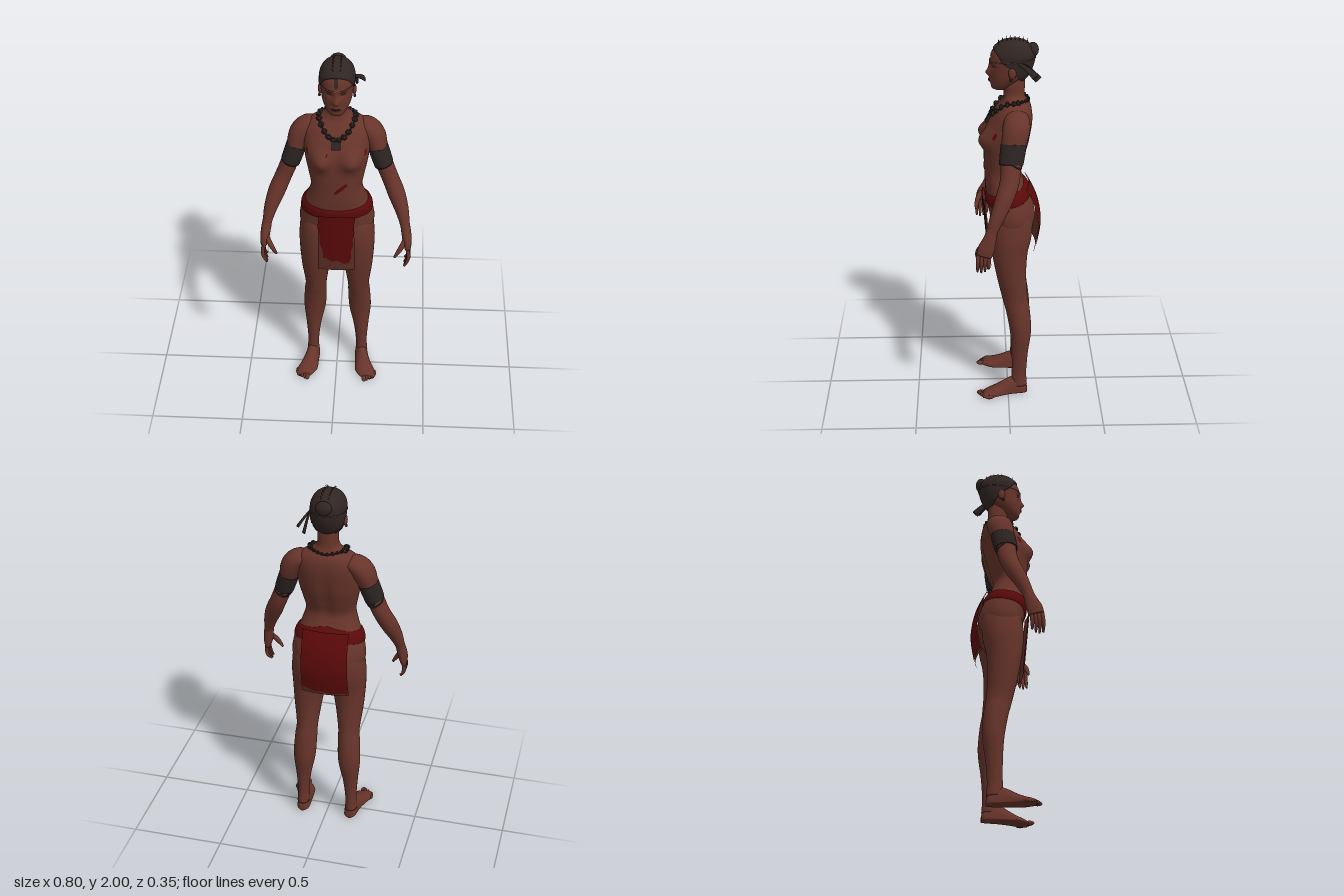
import * as THREE from 'three';

const V = (x, y, z) => new THREE.Vector3(x, y, z);
const mat = (name, color, side = THREE.FrontSide) => {
  const m = new THREE.MeshStandardMaterial({ color, side });
  m.name = name;
  return m;
};

// Catmull-Rom resampling of rows of numbers
function smooth(rows, n) {
  const out = [];
  for (let k = 0; k <= n; k++) {
    const f = (k / n) * (rows.length - 1), i = Math.min(Math.floor(f), rows.length - 2), t = f - i;
    const [a, b, c, d] = [i - 1, i, i + 1, i + 2].map(j => rows[THREE.MathUtils.clamp(j, 0, rows.length - 1)]);
    out.push(b.map((_, q) => b[q] + 0.5 * t * (c[q] - a[q] + t * (2 * a[q] - 5 * b[q] + 4 * c[q] - d[q] + t * (3 * (b[q] - c[q]) + d[q] - a[q])))));
  }
  return out;
}

// Skin a list of closed rings of points, optionally capped
function loft(rings, capped = true) {
  const n = rings[0].length, pts = rings.flat(), idx = [];
  for (let i = 0; i < rings.length - 1; i++) for (let j = 0; j < n; j++) {
    const a = i * n + j, b = i * n + (j + 1) % n;
    idx.push(a, b, b + n, a, b + n, a + n);
  }
  if (capped) [0, rings.length - 1].forEach((r, end) => {
    const c = pts.length;
    pts.push(rings[r].reduce((s, p) => s.add(p), V(0, 0, 0)).divideScalar(n));
    for (let j = 0; j < n; j++) {
      const a = r * n + j, b = r * n + (j + 1) % n;
      idx.push(...(end ? [a, b, c] : [b, a, c]));
    }
  });
  const g = new THREE.BufferGeometry().setFromPoints(pts);
  g.setIndex(idx);
  g.computeVertexNormals();
  return g;
}

// Upright body: rows of [y, halfWidth, zFront, zBack]; bump shifts the front or back
function trunk(rows, n, power, bump = () => 0, seg = 72) {
  return loft(smooth(rows, n).map(([y, w, f, b]) => Array.from({ length: seg }, (_, j) => {
    const a = (j / seg) * Math.PI * 2, s = Math.sin(a), c = Math.cos(a), m = (f + b) / 2;
    const x = w * Math.sign(s) * Math.abs(s) ** power;
    const z = m + (f - b) / 2 * Math.sign(c) * Math.abs(c) ** power;
    return V(x, y, z + bump(x, y, c));
  })));
}

// Limb: rows of [x, y, z, radius, radiusZ] along a path
function limb(rows, n = 24, seg = 20) {
  const p = smooth(rows, n), at = i => V(...p[THREE.MathUtils.clamp(i, 0, n)].slice(0, 3));
  return loft(p.map((r, i) => {
    const d = at(i + 1).sub(at(i - 1)).normalize();
    const v = V(0, 0, 1).addScaledVector(d, -d.z).normalize(), u = v.clone().cross(d);
    return Array.from({ length: seg }, (_, j) => {
      const a = (j / seg) * Math.PI * 2;
      return at(i).addScaledVector(u, Math.cos(a) * r[3]).addScaledVector(v, Math.sin(a) * r[4]);
    });
  }));
}

function mirror(geo) {
  const g = geo.clone().scale(-1, 1, 1), k = g.index.array;
  for (let i = 0; i < k.length; i += 3) [k[i], k[i + 1]] = [k[i + 1], k[i]];
  return g;
}

const ball = (x, y, z, a, b, c) => new THREE.SphereGeometry(1, 20, 14).scale(a, b, c).translate(x, y, z);
const gauss = (x, y, cx, cy, sx, sy) => Math.exp(-(((x - cx) / sx) ** 2) - ((y - cy) / sy) ** 2);
const ray = new THREE.Raycaster();
const hit = (mesh, from, dir, fallback) => {
  ray.set(from, dir);
  const h = ray.intersectObject(mesh)[0];
  return h ? h.point : fallback;
};
// Point on a mesh seen from angle a (0 = front) at height y
const around = (mesh, a, y, off) => {
  const d = V(Math.sin(a), 0, Math.cos(a)), c = V(0, y, -0.03);
  return hit(mesh, c.clone().add(d), d.clone().negate(), c).clone().addScaledVector(d, off);
};

export function createModel() {
  const group = new THREE.Group();
  const skin = mat('skin', 0x67342a), red = mat('redCloth', 0x5c0909, THREE.DoubleSide);
  const brown = mat('brownCloth', 0x5c2f26, THREE.DoubleSide), hair = mat('hair', 0x302624);
  const leather = mat('leather', 0x2b2321), dark = mat('darkPaint', 0x281412), gold = mat('goldCord', 0x4d3c22);
  const add = (name, geo, m) => {
    const mesh = new THREE.Mesh(geo, m);
    mesh.name = name;
    group.add(mesh);
    return mesh;
  };
  const pair = (name, geo, m) => { add(name + 'Left', geo, m); add(name + 'Right', mirror(geo), m); };

  // Torso and neck
  const torso = add('torso', trunk([
    [0.85, 0.05, 0.02, -0.06], [0.89, 0.1, 0.05, -0.085], [0.95, 0.165, 0.078, -0.115], [1.03, 0.198, 0.095, -0.132],
    [1.1, 0.194, 0.106, -0.132], [1.17, 0.174, 0.115, -0.115], [1.22, 0.153, 0.12, -0.09], [1.29, 0.134, 0.123, -0.065],
    [1.36, 0.145, 0.125, -0.085], [1.43, 0.16, 0.122, -0.108], [1.5, 0.17, 0.115, -0.122], [1.56, 0.172, 0.095, -0.13],
    [1.61, 0.168, 0.065, -0.128], [1.645, 0.137, 0.04, -0.118], [1.67, 0.088, 0.025, -0.1], [1.7, 0.058, 0.02, -0.09],
    [1.75, 0.053, 0.022, -0.09], [1.8, 0.05, 0.02, -0.09]], 110, 0.88, (x, y, c) => {
    const ax = Math.abs(x);
    return c > 0 ? Math.min(1, c * 2) * 0.045 * gauss(ax, y, 0.085, 1.475, 0.055, 0.055)
      : Math.max(-1, c * 2) * (0.018 * gauss(ax, y, 0.09, 1.04, 0.06, 0.08) - 0.01 * gauss(x, y, 0, 1.4, 0.03, 0.16));
  }), skin);

  // Legs, feet and toes
  pair('leg', limb([
    [0.14, 0.05, -0.06, 0.034, 0.044], [0.138, 0.13, -0.06, 0.031, 0.04], [0.135, 0.25, -0.064, 0.042, 0.045],
    [0.128, 0.38, -0.068, 0.061, 0.058], [0.122, 0.5, -0.054, 0.061, 0.064], [0.118, 0.58, -0.038, 0.059, 0.068],
    [0.116, 0.72, -0.018, 0.077, 0.08], [0.11, 0.85, -0.01, 0.092, 0.096], [0.106, 0.95, -0.016, 0.097, 0.11],
    [0.103, 1.05, -0.022, 0.086, 0.104], [0.1, 1.12, -0.02, 0.05, 0.06]], 60, 32), skin);
  pair('foot', loft(smooth([
    [0.138, -0.106, 0.012, 0.03], [0.138, -0.092, 0.03, 0.065], [0.139, -0.055, 0.037, 0.1], [0.144, -0.01, 0.04, 0.095],
    [0.154, 0.04, 0.048, 0.068], [0.166, 0.085, 0.056, 0.045], [0.178, 0.12, 0.049, 0.033], [0.184, 0.142, 0.036, 0.02]], 24)
    .map(([x, z, w, h]) => Array.from({ length: 24 }, (_, j) => {
      const a = (j / 24) * Math.PI * 2;
      return V(x + w * Math.cos(a), 0.012 + (Math.sin(a) > 0 ? h - 0.012 : 0.012) * Math.sin(a), z);
    }))), skin);
  for (let i = 0; i < 5; i++)
    pair('toe', ball(0.163 + i * 0.0145, 0.013, 0.15 - i * 0.005 - i * i * 0.0015, i ? 0.009 : 0.014, 0.012, 0.025), skin);

  // Arms and hands
  pair('arm', limb([
    [0.09, 1.61, -0.045, 0.03, 0.05], [0.15, 1.6, -0.045, 0.05, 0.066], [0.19, 1.555, -0.038, 0.058, 0.07],
    [0.218, 1.47, -0.022, 0.048, 0.06], [0.248, 1.39, -0.012, 0.045, 0.053], [0.28, 1.31, -0.002, 0.044, 0.05],
    [0.315, 1.23, 0.026, 0.045, 0.046], [0.345, 1.15, 0.06, 0.036, 0.038], [0.363, 1.08, 0.088, 0.026, 0.03],
    [0.371, 1.04, 0.1, 0.026, 0.034], [0.378, 0.99, 0.118, 0.024, 0.043], [0.383, 0.95, 0.13, 0.017, 0.04]], 70, 28), skin);
  for (let i = 0; i < 4; i++) {
    const z = 0.101 + i * 0.019, tip = 0.85 + (i - 2) ** 2 * 0.006;
    pair('finger', limb([[0.38, 0.965, z, 0.01, 0.01], [0.388, 0.92, z + 0.004, 0.0105, 0.0105],
      [0.381, 0.885, z + 0.006, 0.009, 0.009], [0.366, tip, z + 0.006, 0.005, 0.005]], 8, 10), skin);
  }
  pair('thumb', limb([[0.374, 1.015, 0.125, 0.014, 0.014], [0.348, 0.972, 0.155, 0.014, 0.014],
    [0.328, 0.94, 0.165, 0.011, 0.011], [0.313, 0.915, 0.168, 0.006, 0.006]], 10, 12), skin);
  pair('armband', limb([[0.21, 1.492, -0.025, 0.05, 0.061], [0.212, 1.486, -0.025, 0.053, 0.066],
    [0.24, 1.404, -0.013, 0.051, 0.062], [0.242, 1.398, -0.013, 0.048, 0.057]], 18, 32), leather);

  // Head with nose, lips, brow and eye sockets
  const head = add('head', trunk([
    [1.722, 0.02, 0.06, 0.01], [1.732, 0.038, 0.08, -0.01], [1.75, 0.053, 0.086, -0.03], [1.775, 0.067, 0.085, -0.06],
    [1.8, 0.076, 0.087, -0.09], [1.84, 0.082, 0.088, -0.12], [1.88, 0.085, 0.088, -0.132], [1.92, 0.083, 0.08, -0.135],
    [1.955, 0.068, 0.052, -0.113], [1.978, 0.042, 0.018, -0.08], [1.988, 0.005, -0.025, -0.035]], 80, 0.95, (x, y, c) => {
    if (c <= 0) return 0;
    const ax = Math.abs(x);
    return 0.022 * gauss(x, y, 0, 1.812, 0.016, 0.018) + 0.01 * gauss(x, y, 0, 1.84, 0.01, 0.03)
      + 0.012 * gauss(x, y, 0, 1.776, 0.026, 0.013) + 0.005 * gauss(ax, y, 0.03, 1.875, 0.03, 0.01)
      - 0.01 * gauss(ax, y, 0.034, 1.852, 0.018, 0.012);
  }), skin);
  pair('ear', ball(0.086, 1.83, -0.022, 0.011, 0.03, 0.02), skin);
  pair('earring', ball(0.089, 1.797, -0.014, 0.007, 0.01, 0.007), leather);

  // Hair cap cut back along the hairline, with a bun and trailing ties
  const line = [[1.77, -0.075], [1.84, -0.03], [1.88, 0.025], [1.92, 0.052], [1.945, 0.075], [2.1, 0.2]];
  const hairline = y => {
    const i = Math.max(1, line.findIndex(p => p[0] > y)), [a, b] = [line[i - 1], line[i]];
    return a[1] + (b[1] - a[1]) * (y - a[0]) / (b[0] - a[0]);
  };
  const hairCap = add('hairCap', trunk([
    [1.775, 0.05, 0.03, -0.09], [1.8, 0.076, 0.07, -0.11], [1.84, 0.087, 0.09, -0.13], [1.88, 0.091, 0.092, -0.141],
    [1.92, 0.09, 0.088, -0.143], [1.955, 0.076, 0.064, -0.123], [1.98, 0.05, 0.028, -0.09], [1.992, 0.005, -0.025, -0.035]], 50, 0.95), hair);
  const hp = hairCap.geometry.attributes.position;
  for (let i = 0; i < hp.count; i++) hp.setZ(i, Math.min(hp.getZ(i), hairline(hp.getY(i))));
  hairCap.geometry.computeVertexNormals();
  add('bun', ball(0, 1.932, -0.13, 0.043, 0.038, 0.03), hair);
  [[0.095, 1.8, -0.155], [0.13, 1.825, -0.14]].forEach(e => add('hairTie', limb([
    [0.083, 1.885, -0.05, 0.005, 0.007], [(0.083 + e[0]) / 2, 1.858, -0.1, 0.006, 0.014], [...e, 0.008, 0.02]], 6, 8), leather));
  for (let i = 0; i < 8; i++) for (const s of [-1, 1]) {
    const z = 0.045 - i * 0.021, p = hit(hairCap, V(s * 0.02, 3, z), V(0, -1, 0), V(s * 0.02, 1.96, z));
    add('hairSpike', new THREE.ConeGeometry(0.004, 0.02, 6).rotateZ(-s * 0.4).translate(p.x, p.y + 0.005, z), gold);
  }
  const bandPts = Array.from({ length: 48 }, (_, j) => {
    const a = (j / 48) * Math.PI * 2, y = 1.887 - 0.008 * Math.cos(a);
    const p = around(head, a, y, 0.001), q = around(hairCap, a, y, 0.001);
    return Math.hypot(p.x, p.z + 0.03) > Math.hypot(q.x, q.z + 0.03) ? p : q;
  });
  add('headCord', new THREE.TubeGeometry(new THREE.CatmullRomCurve3(bandPts, true), 96, 0.0022, 6, true), gold);

  // Thin painted strokes laid on a surface: x0, y0, x1, y1, width
  const stroke = (name, mesh, m, [x0, y0, x1, y1, w]) => {
    const g = new THREE.PlaneGeometry(1, 1, 14, 4), p = g.attributes.position;
    const dx = x1 - x0, dy = y1 - y0, len = Math.hypot(dx, dy);
    for (let i = 0; i < p.count; i++) {
      const t = p.getX(i) + 0.5, s = p.getY(i) * w * Math.sqrt(Math.max(0.02, 1 - (2 * t - 1) ** 4));
      const x = x0 + dx * t - dy / len * s, y = y0 + dy * t + dx / len * s;
      p.setXYZ(i, x, y, hit(mesh, V(x, y, 2), V(0, 0, -1), V(x, y, 0)).z + 0.003);
    }
    g.computeVertexNormals();
    add(name, g, m);
  };
  for (const s of [-1, 1]) {
    stroke('eye', head, dark, [s * 0.036 - 0.014, 1.853, s * 0.036 + 0.014, 1.853, 0.008]);
    stroke('eyebrow', head, dark, [s * 0.036 - 0.017, 1.872, s * 0.036 + 0.017, 1.872, 0.004]);
    stroke('chestMark', torso, red, [s * 0.148, 1.495, s * 0.151, 1.53, 0.01]);
  }
  stroke('lips', head, dark, [-0.024, 1.775, 0.024, 1.775, 0.018]);
  stroke('foreheadLock', head, hair, [0, 1.89, 0, 1.955, 0.02]);
  stroke('bellyMark', torso, red, [-0.008, 1.282, 0.06, 1.345, 0.02]);
  stroke('breastMark', torso, red, [-0.05, 1.51, -0.044, 1.528, 0.007]);

  // Necklace of chunky beads resting on the shoulders, with a square pendant
  const neckPoint = (a, lift) => {
    const c = Math.cos(a), x = 0.094 * Math.sin(a), z = -0.03 + (c > 0 ? 0.112 : 0.074) * c;
    const p = hit(torso, V(x, 1.715, z), V(0, -1, 0), V(x, 1.66, z));
    return V(p.x, p.y + lift, p.z + lift * c);
  };
  const neckPts = Array.from({ length: 40 }, (_, j) => neckPoint(j / 40 * Math.PI * 2, 0.004));
  add('necklaceCord', new THREE.TubeGeometry(new THREE.CatmullRomCurve3(neckPts, true), 100, 0.004, 6, true), leather);
  for (let i = 0; i < 22; i++) {
    const a = ((i + 0.5) / 22) * Math.PI * 2, p = neckPoint(a, 0.006), r = Math.cos(a) < -0.5 ? 0.009 : 0.015;
    add('bead', new THREE.DodecahedronGeometry(r).scale(1, 1.15, 0.9).rotateZ(i).translate(p.x, p.y, p.z), leather);
  }
  const pz = around(torso, 0, 1.565, 0.01);
  add('pendant', new THREE.BoxGeometry(0.046, 0.042, 0.012).rotateX(-0.5).translate(0, 1.566, pz.z), leather);

  // Rolled waist belt, lower at the front
  const belt = [[-0.033, 0.001], [-0.029, 0.006], [-0.01, 0.01], [0.012, 0.01], [0.029, 0.007], [0.033, 0]];
  add('belt', loft(belt.map(([dy, off]) => Array.from({ length: 64 }, (_, j) => {
    const a = (j / 64) * Math.PI * 2;
    return around(torso, a, 1.167 - 0.032 * Math.cos(a) + dy, off);
  })), false), red);

  // Hanging cloths: edges as functions of t (0 top, 1 bottom)
  const cloth = (name, m, left, right, top, bottom, depth) => {
    const g = new THREE.PlaneGeometry(1, 1, 12, 24), p = g.attributes.position;
    for (let i = 0; i < p.count; i++) {
      const u = p.getX(i) + 0.5, t = 0.5 - p.getY(i), x = left(t) + (right(t) - left(t)) * u;
      const y = top + (bottom(u) - top) * t;
      p.setXYZ(i, x, y, depth(x, y));
    }
    g.computeVertexNormals();
    add(name, g, m);
  };
  const frontZ = (x, y) => 0.1 + (y - 0.76) * 0.09 - 1.1 * x * x;
  cloth('frontFlap', brown, t => -0.092 - 0.008 * t, t => 0.096 + 0.004 * t, 1.14, () => 0.76, frontZ);
  cloth('frontFlapRed', red, t => -0.096 + 0.03 * t * t + 0.003 * Math.sin(t * 17), t => 0.098 - 0.025 * t * t + 0.003 * Math.sin(t * 23),
    1.142, u => 0.845 - 0.035 * u + 0.007 * Math.sin(u * 14), (x, y) => frontZ(x, y) + 0.004);
  const fall = smooth([[1.22, -0.106], [1.13, -0.15], [1.05, -0.17], [0.97, -0.173], [0.84, -0.149]], 40);
  const backZ = (x, y) => {
    const i = Math.max(1, fall.findIndex(p => p[0] <= y)), [a, b] = [fall[i - 1], fall[i]];
    return a[1] + (b[1] - a[1]) * (y - a[0]) / (b[0] - a[0]) + 1.1 * x * x;
  };
  cloth('backFlap', brown, t => -0.125 - 0.012 * t, () => 0.12, 1.21, () => 0.85, backZ);
  cloth('backFlapRed', red, t => -0.126 - 0.008 * t, t => 0.121 - 0.008 * t * t, 1.212,
    u => 0.862 + 0.02 * u * u + 0.004 * Math.sin(u * 15), (x, y) => backZ(x, y) - 0.004);

  return group;
}
